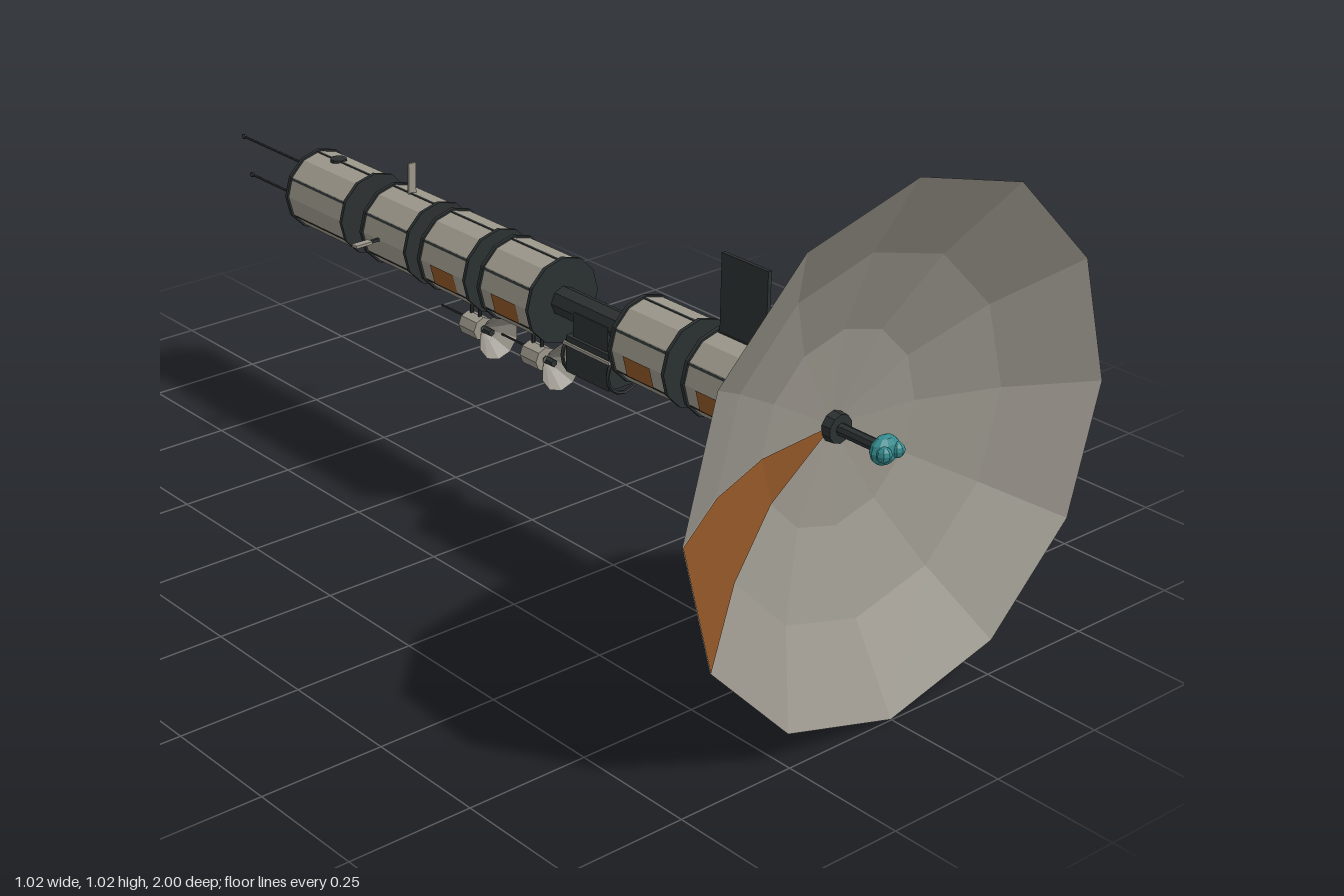
import * as THREE from 'three';

const AXIS_Y = 0.512;
const mat = (color, side = THREE.FrontSide) =>
  new THREE.MeshStandardMaterial({ color, side, flatShading: true });
const hull = mat(0x9c978b), dark = mat(0x2b3030), orange = mat(0x8f5526, THREE.DoubleSide);
const teal = mat(0x33898c), dishGrey = mat(0x97938a, THREE.DoubleSide);

function add(parent, name, geometry, material, x = 0, y = 0, z = 0) {
  const mesh = new THREE.Mesh(geometry, material);
  mesh.name = name;
  mesh.position.set(x, y, z);
  parent.add(mesh);
  return mesh;
}
const box = (w, h, d) => new THREE.BoxGeometry(w, h, d);

// Cylinder lying along z, from z0 (back) to z1 (front)
function rod(parent, name, r, z0, z1, material, x = 0, y = 0, sides = 12, rBack = r) {
  const geometry = new THREE.CylinderGeometry(r, rBack, z1 - z0, sides).rotateX(Math.PI / 2);
  return add(parent, name, geometry, material, x, y, (z0 + z1) / 2);
}

// Faceted hull section with dark end plates, seams and an optional orange panel
function hullModule(parent, z0, z1, panel) {
  const g = new THREE.Group();
  g.name = 'hullModule';
  g.position.z = (z0 + z1) / 2;
  parent.add(g);
  const h = (z1 - z0) / 2, r = 0.084;
  rod(g, 'hullShell', r, -h + 0.004, h - 0.004, hull);
  for (const s of [-1, 1]) rod(g, 'endPlate', r + 0.004, s * h - 0.004, s * h + 0.004, dark);
  for (let i = 0; i < 6; i++) {
    const a = (i + 0.55) * Math.PI / 3;
    const seam = add(g, 'seam', box(0.004, 0.005, 2 * h - 0.008), dark,
      Math.cos(a) * (r - 0.002), Math.sin(a) * (r - 0.002), 0);
    seam.rotation.z = a;
  }
  if (panel) {
    const patch = new THREE.CylinderGeometry(r + 0.002, r + 0.002, h, 1, 1, true,
      -Math.PI / 2, Math.PI / 6).rotateX(Math.PI / 2);
    add(g, 'orangePanel', patch, orange);
  }
}

// Small dish antenna hanging below the hull
function smallAntenna(parent, z) {
  const g = new THREE.Group();
  g.name = 'smallAntenna';
  g.position.set(0, -0.142, z);
  parent.add(g);
  const profile = [[0.006, 0.042], [0.022, 0.062], [0.05, 0.09]].map(p => new THREE.Vector2(...p));
  add(g, 'smallDish', new THREE.LatheGeometry(profile, 10).rotateX(Math.PI / 2), dishGrey);
  rod(g, 'antennaBody', 0.025, -0.008, 0.042, hull, 0, 0, 8);
  rod(g, 'antennaFeed', 0.008, 0.03, 0.068, dark, 0, 0, 6);
  rod(g, 'antennaWhip', 0.0025, -0.095, 0, dark, 0, 0.008, 5);
  for (const s of [0.004, 0.03]) {
    add(g, 'strut', new THREE.CylinderGeometry(0.004, 0.004, 0.075, 6), dark, 0, 0.045, s);
  }
}

export function createModel() {
  const root = new THREE.Group();
  const ship = new THREE.Group();
  ship.name = 'spacecraft';
  ship.position.y = AXIS_Y;
  root.add(ship);

  // Main dish with one orange sector on its inner face
  const profile = [[0, 0.822], [0.188, 0.842], [0.348, 0.902], [0.51, 0.998]]
    .map(p => new THREE.Vector2(...p));
  add(ship, 'mainDish', new THREE.LatheGeometry(profile, 12).rotateX(Math.PI / 2), dishGrey);
  const sector = new THREE.LatheGeometry(profile, 1, -Math.PI / 2, Math.PI / 6).rotateX(Math.PI / 2);
  add(ship, 'dishSector', sector, orange, 0, 0, 0.002);

  // Feed horn in front of the dish
  rod(ship, 'feedBase', 0.028, 0.815, 0.845, dark, 0, 0, 10, 0.03);
  rod(ship, 'feedRod', 0.012, 0.84, 0.95, dark, 0, 0, 8);
  add(ship, 'feedHead', new THREE.SphereGeometry(0.033, 10, 6).scale(1, 0.85, 0.6), teal, 0, 0, 0.95);
  for (const s of [-1, 1]) {
    add(ship, 'feedLobe', new THREE.SphereGeometry(0.015, 8, 6), teal, s * 0.016, 0, 0.963);
  }

  // Core truss and the dark collar behind the dish
  rod(ship, 'core', 0.03, -0.6, 0.825, dark, 0, 0, 8);
  rod(ship, 'collar', 0.06, 0.67, 0.815, dark, 0, 0, 6).rotation.z = Math.PI / 6;
  ship.getObjectByName('collar').rotation.z = Math.PI / 2 * 1; // flat sides left and right
  ship.getObjectByName('collar').scale.set(0.88, 1.13, 1);

  // Hull modules: back end, front end, orange panel
  [[0.53, 0.67, true], [0.33, 0.478, true], [-0.06, 0.09, true],
    [-0.252, -0.105, true], [-0.445, -0.298, false], [-0.71, -0.515, false]]
    .forEach(m => hullModule(ship, ...m));

  // Vertical panels above and below the first module
  for (const s of [-1, 1]) {
    add(ship, 'verticalPanel', box(0.008, 0.17, 0.12), dark, 0, s * 0.152, 0.597);
  }

  // Equipment pod slung below the core, held by rings
  add(ship, 'podBody', box(0.075, 0.075, 0.125), dark, 0, -0.082, 0.21);
  add(ship, 'podMount', box(0.06, 0.07, 0.1), dark, 0, -0.03, 0.21);
  for (const z of [0.142, 0.275]) {
    add(ship, 'podRing', new THREE.TorusGeometry(0.042, 0.004, 5, 16), dark, 0, -0.088, z);
  }
  for (const s of [-1, 1]) {
    add(ship, 'podRail', box(0.006, 0.006, 0.135), hull, s * 0.039, -0.06, 0.21);
  }

  // Antennas underneath
  smallAntenna(ship, 0);
  smallAntenna(ship, -0.195);

  // Short fins around the fifth module
  for (const s of [-1, 1]) {
    add(ship, 'sideFin', box(0.04, 0.006, 0.016), hull, s * 0.125, 0, -0.389);
    add(ship, 'sideFinStem', box(0.04, 0.006, 0.006), dark, s * 0.095, 0, -0.389);
  }
  add(ship, 'topFin', box(0.018, 0.07, 0.005), hull, 0, 0.112, -0.385);

  // Port on the rear module
  add(ship, 'port', new THREE.CylinderGeometry(0.018, 0.018, 0.012, 10), dark, 0, 0.08, -0.64);

  // Tail whips with ball tips
  for (const [x, y, end] of [[0, 0.038, -0.995], [-0.035, -0.02, -0.915], [0.035, -0.02, -0.855]]) {
    rod(ship, 'tailWhip', 0.003, end, -0.7, dark, x, y, 6);
    add(ship, 'whipTip', new THREE.SphereGeometry(0.006, 6, 5), dark, x, y, end);
  }
  return root;
}
